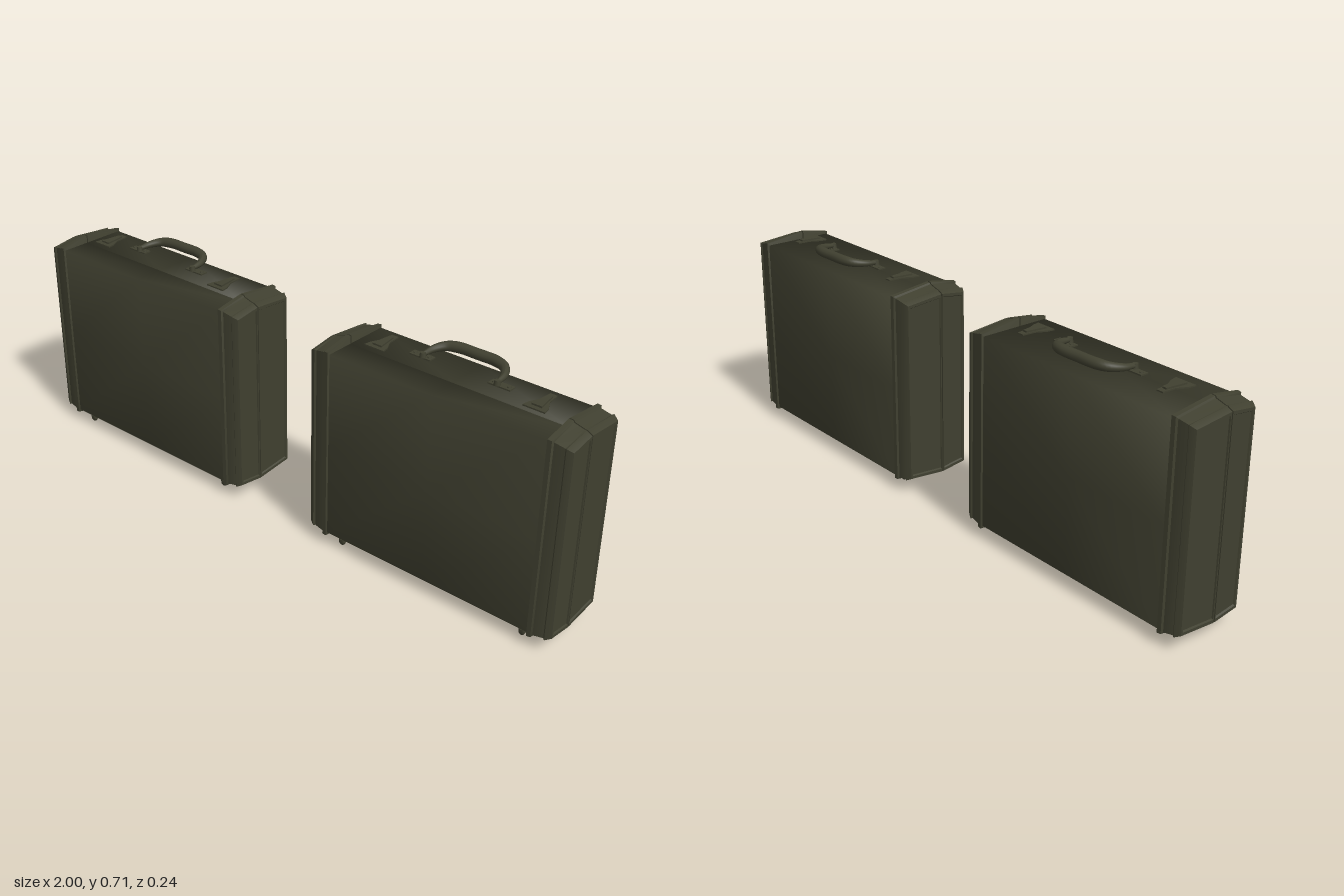
import * as THREE from 'three';
import { toCreasedNormals } from 'three/addons/utils/BufferGeometryUtils.js';

const MID_Y = 0.347;
const SEAM_Z = 0.021;

// Closed loft along x for one half of the case (side +1 front, -1 back).
// Section: [x, outer z, half height at outer edge, half height at seam, gap from seam]
function loftHalf(sections, side) {
  const pos = [], idx = [], n = 6;
  for (const [x, zo, hO, hS, gap] of sections) {
    const zs = SEAM_Z + side * gap, z = side * zo;
    pos.push(x, MID_Y + hS, zs, x, MID_Y + hO, z, x, MID_Y, z,
      x, MID_Y - hO, z, x, MID_Y - hS, zs, x, MID_Y, zs);
  }
  const tri = (a, b, c) => idx.push(a, b, c);
  for (let s = 0; s < sections.length - 1; s++) {
    for (let i = 0; i < n; i++) {
      const a = s * n + i, b = s * n + (i + 1) % n;
      tri(a, b, a + n);
      tri(b, b + n, a + n);
    }
  }
  const last = (sections.length - 1) * n;
  for (let i = 1; i < n - 1; i++) {
    tri(0, i + 1, i);
    tri(last, last + i, last + i + 1);
  }
  // Turn the faces outward if the volume comes out negative
  const p = (i) => new THREE.Vector3().fromArray(pos, i * 3);
  let volume = 0;
  for (let i = 0; i < idx.length; i += 3) {
    volume += p(idx[i]).dot(p(idx[i + 1]).cross(p(idx[i + 2])));
  }
  if (volume < 0) idx.reverse();
  const g = new THREE.BufferGeometry();
  g.setAttribute('position', new THREE.Float32BufferAttribute(pos, 3));
  g.setIndex(idx);
  g.computeVertexNormals();
  return g;
}

// Grip swept along a U, thick in the middle and thin at the pivots
function gripGeometry() {
  const path = new THREE.CatmullRomCurve3([
    [-0.122, 0.683, -0.008], [-0.117, 0.686, -0.045], [-0.095, 0.690, -0.078],
    [-0.06, 0.692, -0.09], [0, 0.692, -0.091], [0.06, 0.692, -0.09],
    [0.095, 0.690, -0.078], [0.117, 0.686, -0.045], [0.122, 0.683, -0.008],
  ].map((v) => new THREE.Vector3(...v)));
  const steps = 40, sides = 12;
  const g = new THREE.TubeGeometry(path, steps, 1, sides);
  const p = g.attributes.position, v = new THREE.Vector3();
  for (let i = 0; i <= steps; i++) {
    const c = path.getPointAt(i / steps);
    const r = 0.007 + 0.009 * Math.min(1, Math.sin(Math.PI * i / steps) * 1.25);
    for (let j = 0; j <= sides; j++) {
      const k = i * (sides + 1) + j;
      v.fromBufferAttribute(p, k).sub(c).multiplyScalar(r).add(c);
      p.setXYZ(k, v.x, v.y, v.z);
    }
  }
  g.computeVertexNormals();
  return g;
}

// Thin plate lying flat; outline points are [x, z]
function flatPlate(points, thickness) {
  const shape = new THREE.Shape(points.map(([x, z]) => new THREE.Vector2(x, -z)));
  return new THREE.ExtrudeGeometry(shape, { depth: thickness, bevelEnabled: false })
    .rotateX(-Math.PI / 2);
}

function createCase(material) {
  const group = new THREE.Group();
  group.name = 'briefcase';
  const add = (name, geometry, x = 0, y = 0, z = 0) => {
    const m = new THREE.Mesh(geometry, material);
    m.name = name;
    m.position.set(x, y, z);
    group.add(m);
    return m;
  };

  // Two shells with a seam gap, each with flared caps at both ends
  const cap = [
    [0.355, 0.118, 0.306, 0.324, 0.002],
    [0.357, 0.122, 0.310, 0.327, 0.002],
    [0.370, 0.121, 0.309, 0.326, 0.002],
    [0.373, 0.115, 0.304, 0.321, 0.002],
    [0.405, 0.113, 0.298, 0.312, 0.002],
    [0.410, 0.117, 0.300, 0.312, 0.002],
    [0.4275, 0.108, 0.291, 0.303, 0.002],
    [0.4275, 0.102, 0.283, 0.293, 0.005],
    [0.423, 0.099, 0.280, 0.290, 0.006],
  ];
  for (const side of [1, -1]) {
    const label = side > 0 ? 'front' : 'back';
    const body = [-0.357, 0, 0.357].map((x) => [x, 0.116, 0.302, 0.302, 0.002]);
    add(label + 'Shell', loftHalf(body, side));
    for (const end of [1, -1]) {
      const sections = cap.map(([x, ...rest]) => [x * end, ...rest]);
      add(label + (end > 0 ? 'Left' : 'Right') + 'EndCap',
        toCreasedNormals(loftHalf(sections, side), 0.6));
    }
  }

  // Carrying handle and its mounts
  add('handleGrip', gripGeometry());
  for (const s of [1, -1]) {
    add('handlePlate', new THREE.BoxGeometry(0.07, 0.004, 0.026), s * 0.13, 0.673, -0.014);
    add('handlePivot', new THREE.CylinderGeometry(0.008, 0.01, 0.015, 12), s * 0.122, 0.682, -0.005);
    for (const dx of [-0.024, 0.024]) {
      add('rivet', new THREE.CylinderGeometry(0.005, 0.006, 0.004, 8), s * 0.13 + dx, 0.676, -0.014);
    }
  }

  // Latches, a tapering plate with a raised catch
  for (const s of [1, -1]) {
    const x = s * 0.261;
    add('latchPlate', flatPlate([
      [-0.034, 0.036], [0.034, 0.036], [0.03, 0.012], [0.014, -0.02],
      [0.011, -0.062], [-0.011, -0.062], [-0.014, -0.02], [-0.03, 0.012],
    ], 0.004), x, 0.669);
    add('latchCatch', flatPlate([
      [-0.016, 0.022], [0.016, 0.022], [0.007, -0.045], [-0.007, -0.045],
    ], 0.005), x, 0.673);
  }

  // Hinges and feet underneath
  for (const s of [1, -1]) {
    add('hinge', new THREE.BoxGeometry(0.05, 0.003, 0.06), s * 0.27, 0.021, 0.005);
    const pin = add('hingePin', new THREE.CylinderGeometry(0.003, 0.003, 0.05, 8), s * 0.27, 0.021, SEAM_Z);
    pin.rotation.z = Math.PI / 2;
    for (const z of [0.081, -0.058]) {
      const profile = [[0, 0], [0.006, 0], [0.011, 0.008], [0.012, 0.022], [0, 0.022]]
        .map(([r, y]) => new THREE.Vector2(r, y));
      add('foot', toCreasedNormals(new THREE.LatheGeometry(profile, 10), 0.7), s * 0.322, 0, z);
    }
  }
  return group;
}

export function createModel() {
  const olive = new THREE.MeshStandardMaterial({ color: 0x404030 });
  olive.name = 'darkOlive';
  const model = new THREE.Group();
  model.name = 'briefcasePair';
  for (const x of [-0.5725, 0.5725]) {
    const c = createCase(olive);
    c.name = x < 0 ? 'rightBriefcase' : 'leftBriefcase';
    c.position.x = x;
    model.add(c);
  }
  return model;
}
